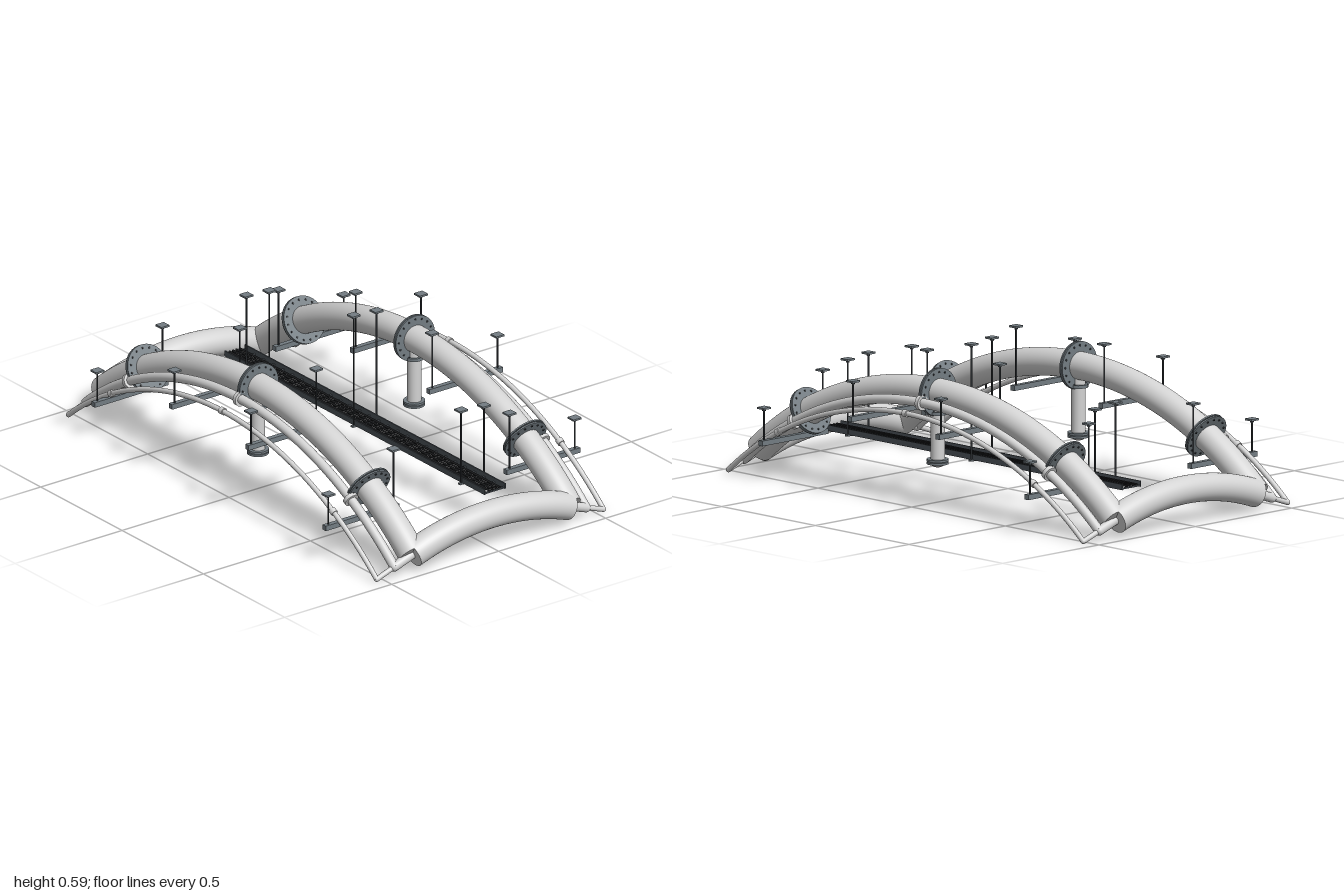
import * as THREE from 'three';

const paint = (name, color) => Object.assign(new THREE.MeshStandardMaterial({ color }), { name });
const V = (x, y, z) => new THREE.Vector3(x, y, z);

// Circular arch of a given half span and rise, running along z or x
class ArchCurve extends THREE.Curve {
  constructor(axis, offset, apex, half, rise) {
    super();
    this.axis = axis; this.offset = offset; this.apex = apex;
    this.radius = (half * half + rise * rise) / (2 * rise);
    this.sweep = Math.asin(half / this.radius);
  }
  getPoint(t, target = V(0, 0, 0)) {
    const a = (2 * t - 1) * this.sweep;
    const s = this.radius * Math.sin(a);
    const y = this.apex - this.radius * (1 - Math.cos(a));
    return this.axis === 'z' ? target.set(this.offset, y, s) : target.set(s, y, this.offset);
  }
}

export function createModel() {
  const model = new THREE.Group();
  model.name = 'pipeLoop';
  const pipeMat = paint('pale pipe', 0xd3d3d3);
  const steelMat = paint('grey steel', 0x737c82);
  const trayMat = paint('dark tray steel', 0x4a5056);
  const rodMat = paint('dark rod', 0x34383c);
  const cableMat = paint('black cable', 0x1b1c1e);

  const HALF = 0.947, RISE = 0.35, X = 0.365, END_Y = 0.07;

  function add(parent, name, geo, mat, x = 0, y = 0, z = 0) {
    const m = new THREE.Mesh(geo, mat);
    m.name = name;
    m.position.set(x, y, z);
    parent.add(m);
    return m;
  }
  const box = (p, name, mat, w, h, d, x, y, z) => add(p, name, new THREE.BoxGeometry(w, h, d), mat, x, y, z);
  const cyl = (p, name, mat, r, h, x, y, z, n = 24) => add(p, name, new THREE.CylinderGeometry(r, r, h, n), mat, x, y, z);

  // Cylinder between two points
  function rod(p, name, mat, r, a, b, n = 16) {
    const m = cyl(p, name, mat, r, a.distanceTo(b), 0, 0, 0, n);
    m.position.copy(a).add(b).multiplyScalar(0.5);
    m.quaternion.setFromUnitVectors(V(0, 1, 0), b.clone().sub(a).normalize());
    return m;
  }

  // Bent pipe with closed ends
  function pipe(name, curve, r, sides = 32) {
    const g = new THREE.Group();
    g.name = name;
    add(g, name + 'Body', new THREE.TubeGeometry(curve, 48, r, sides), pipeMat);
    for (const t of [0, 1]) {
      const cap = add(g, name + 'End', new THREE.CircleGeometry(r, sides), pipeMat);
      cap.position.copy(curve.getPoint(t));
      cap.quaternion.setFromUnitVectors(V(0, 0, 1), curve.getTangent(t).multiplyScalar(t ? 1 : -1));
    }
    model.add(g);
  }

  // Group placed on an arch, its y axis following the pipe
  function onArch(name, curve, z) {
    const g = new THREE.Group();
    g.name = name;
    const t = (Math.asin(z / curve.radius) / curve.sweep + 1) / 2;
    g.position.copy(curve.getPoint(t));
    g.quaternion.setFromUnitVectors(V(0, 1, 0), curve.getTangent(t));
    model.add(g);
    return g;
  }

  // Vertical hanger rod with a square ceiling pad
  function hanger(x, z, bottom, top) {
    cyl(model, 'hangerRod', rodMat, 0.0035, top - bottom, x, (top + bottom) / 2, z, 8);
    box(model, 'hangerPad', steelMat, 0.038, 0.007, 0.036, x, top - 0.003, z);
    cyl(model, 'hangerNut', rodMat, 0.007, 0.008, x, top - 0.01, z, 6);
  }

  for (const s of [-1, 1]) {
    const name = s > 0 ? 'left' : 'right';

    // Three parallel arched pipes on each side
    const lines = [[X, 0.053], [0.448, 0.018], [0.53, 0.01]].map(([x, r]) => {
      const endY = END_Y - 0.35 * (x - X);
      return { x, r, endY, curve: new ArchCurve('z', s * x, endY + RISE, HALF, RISE) };
    });
    const [main, mid, outer] = lines;
    pipe(name + 'MainPipe', main.curve, main.r, 40);
    pipe(name + 'MiddlePipe', mid.curve, mid.r, 20);
    pipe(name + 'OuterPipe', outer.curve, outer.r, 14);

    // Sloping connections from the corners out to the thin pipes
    for (const e of [-1, 1]) {
      for (const l of [mid, outer]) {
        const tip = V(s * l.x, l.endY, e * HALF);
        rod(model, 'cornerLink', pipeMat, l.r, V(s * X, END_Y, e * HALF), tip);
        add(model, 'pipeElbow', new THREE.SphereGeometry(l.r, 16, 12), pipeMat, tip.x, tip.y, tip.z);
      }
    }

    // Bolted flange pairs and couplings
    for (const z of [-0.68, 0, 0.68]) {
      const f = onArch('mainFlange', main.curve, z);
      for (const d of [-1, 1]) cyl(f, 'flangeDisc', steelMat, 0.091, 0.006, 0, d * 0.005, 0, 48);
      cyl(f, 'gasket', rodMat, 0.085, 0.005, 0, 0, 0, 40);
      for (let i = 0; i < 16; i++) {
        const a = (i / 16) * Math.PI * 2;
        cyl(f, 'flangeBolt', rodMat, 0.004, 0.023, Math.cos(a) * 0.077, 0, Math.sin(a) * 0.077, 6);
      }
      cyl(onArch('middleCoupling', mid.curve, z), 'couplingRing', pipeMat, 0.029, 0.016, 0, 0, 0);
      cyl(onArch('outerCoupling', outer.curve, z), 'couplingRing', pipeMat, 0.014, 0.02, 0, 0, 0, 16);
    }

    // Drain branch hanging below the crown
    const b = new THREE.Group();
    b.name = name + 'Branch';
    b.position.x = s * X;
    model.add(b);
    cyl(b, 'branchPipe', pipeMat, 0.027, 0.25, 0, 0.275, 0);
    cyl(b, 'branchCollar', steelMat, 0.037, 0.012, 0, 0.343, 0);
    for (const y of [0.152, 0.163]) cyl(b, 'branchFlange', steelMat, 0.041, 0.008, 0, y, 0, 32);
    const dome = add(b, 'branchCap', new THREE.SphereGeometry(0.026, 20, 12), pipeMat, 0, 0.148, 0);
    dome.scale.y = 0.5;

    // Trapeze supports carrying the pipes
    for (const [az, beamY, outTop, inTop] of [[0.235, 0.315, 0.46, 0.55], [0.71, 0.155, 0.29, 0.392]]) {
      for (const z of [-az, az]) {
        box(model, 'trapezeBeam', steelMat, 0.343, 0.02, 0.02, s * 0.423, beamY, z);
        hanger(s * 0.576, z, beamY, outTop);
        hanger(s * 0.271, z, beamY, inTop);
      }
    }
  }

  // Arched cross pipes at the front and back
  for (const e of [-1, 1])
    pipe(e > 0 ? 'frontCrossPipe' : 'backCrossPipe', new ArchCurve('x', e * HALF, 0.135, X, 0.065), 0.053, 40);

  // Cable tray: side rails, rungs and cables
  const tray = new THREE.Group();
  tray.name = 'cableTray';
  tray.position.set(0.136, 0.148, 0);
  model.add(tray);
  for (const s of [-1, 1]) box(tray, 'trayRail', trayMat, 0.005, 0.022, 1.6, s * 0.047, 0, 0);
  for (let i = 0; i <= 27; i++)
    box(tray, 'trayRung', trayMat, 0.094, 0.005, 0.009, 0, -0.006, -0.795 + (i * 1.59) / 27);
  for (const x of [-0.026, -0.01, 0.006, 0.022]) {
    const c = cyl(tray, 'cable', cableMat, 0.0045, 1.6, x, 0.001, 0, 8);
    c.rotation.x = Math.PI / 2;
  }

  // Tray hangers
  for (const [z, top] of [[-0.66, 0.438], [0, 0.59], [0.66, 0.438]]) {
    box(model, 'trayCrossbar', steelMat, 0.125, 0.006, 0.014, 0.136, 0.136, z);
    hanger(0.083, z, 0.135, top);
    hanger(0.19, z, 0.135, top - 0.01);
  }
  return model;
}
